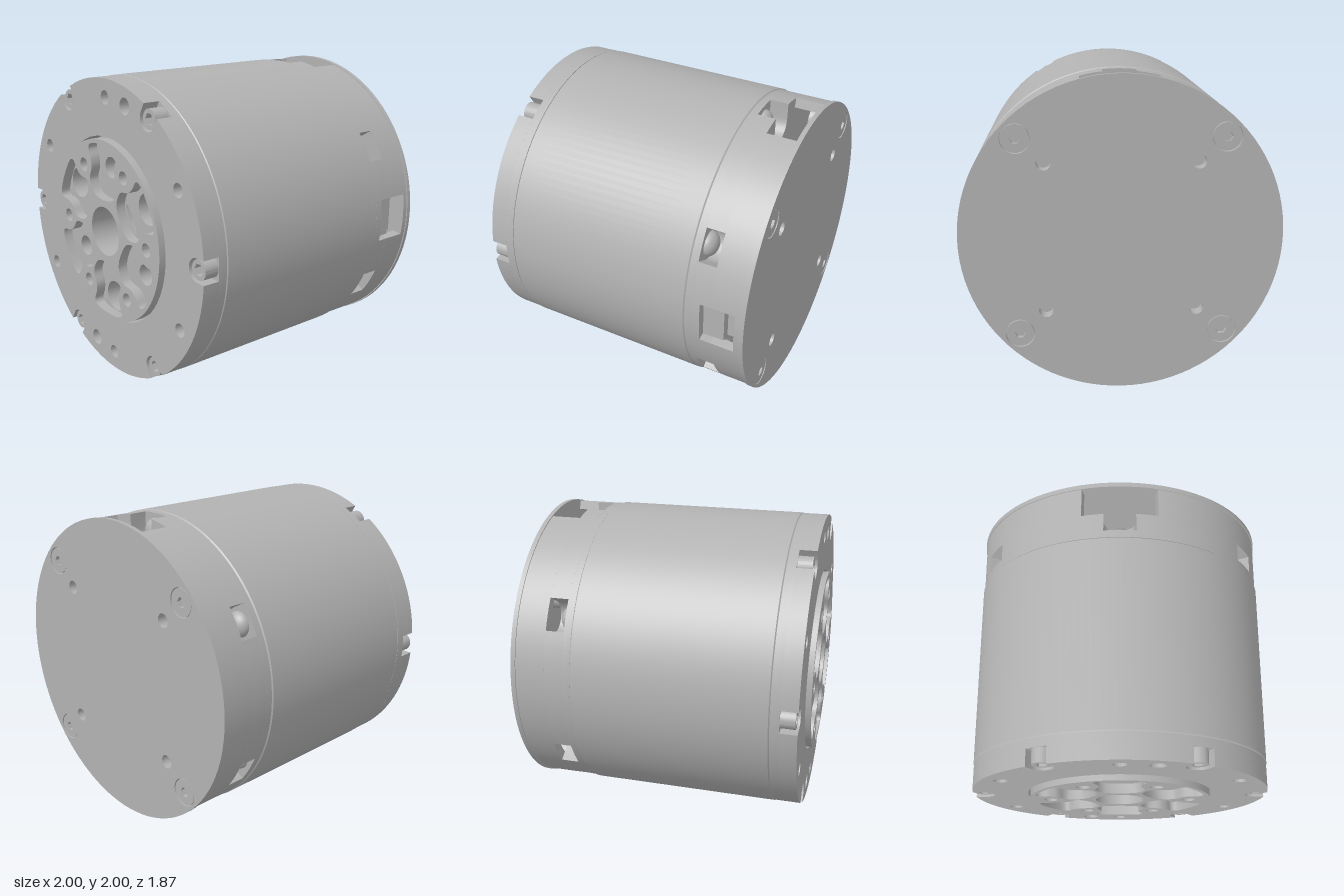
import * as THREE from 'three';
import { toCreasedNormals } from 'three/addons/utils/BufferGeometryUtils.js';

const rad = THREE.MathUtils.degToRad;
const polar = (r, deg) => [r * Math.cos(rad(deg)), r * Math.sin(rad(deg))];
const SIX = [0, 60, 120, 180, 240, 300];
const ODD = SIX.map(a => a + 30);

const circle = (r, x = 0, y = 0) => {
  const p = new THREE.Shape();
  p.absarc(x, y, r, 0, Math.PI * 2, false);
  return p;
};

const hexagon = (r, x, y) => new THREE.Shape(SIX.map(a => {
  const [dx, dy] = polar(r, a);
  return new THREE.Vector2(x + dx, y + dy);
}));

// Ring sector between two angles
const sector = (r0, r1, a0, a1) => {
  const s = new THREE.Shape();
  s.absarc(0, 0, r1, rad(a0), rad(a1), false);
  s.absarc(0, 0, r0, rad(a1), rad(a0), true);
  s.closePath();
  return s;
};

// Disc with notches cut in from the rim; notches are sorted by angle
const notchedDisc = (R, notches) => {
  const pts = [];
  const place = (deg, r, t) => {
    const c = Math.cos(rad(deg)), s = Math.sin(rad(deg));
    pts.push(new THREE.Vector2(r * c - t * s, r * s + t * c));
  };
  notches.forEach((n, i) => {
    const edge = Math.sqrt(R * R - n.w * n.w);
    place(n.a, edge, -n.w);
    if (n.square) {
      place(n.a, n.r, -n.w);
      place(n.a, n.r, n.w);
    } else {
      for (let k = 0; k <= 12; k++) {
        const f = -Math.PI / 2 + Math.PI * k / 12;
        place(n.a, n.r - n.w * Math.cos(f), n.w * Math.sin(f));
      }
    }
    place(n.a, edge, n.w);
    const next = notches[(i + 1) % notches.length];
    const from = n.a + THREE.MathUtils.radToDeg(Math.asin(n.w / R));
    const to = next.a + (i + 1 === notches.length ? 360 : 0) - THREE.MathUtils.radToDeg(Math.asin(next.w / R));
    const steps = Math.ceil((to - from) / 3);
    for (let k = 1; k < steps; k++) place(from + (to - from) * k / steps, R, 0);
  });
  return new THREE.Shape(pts);
};

// Closed smooth outline from (tangent, radius) points, turned to an angle
const smoothOutline = (points, deg) => {
  const curve = new THREE.CatmullRomCurve3(points.map(([t, r]) => {
    const [c, s] = polar(1, deg);
    return new THREE.Vector3(r * c - t * s, r * s + t * c, 0);
  }), true);
  return new THREE.Shape(curve.getPoints(60).slice(0, -1).map(p => new THREE.Vector2(p.x, p.y)));
};

export function createModel() {
  const model = new THREE.Group();
  const grey = new THREE.MeshStandardMaterial({ color: 0xb2b2b2 });
  grey.name = 'grey metal';

  const add = (name, geometry) => {
    const m = new THREE.Mesh(geometry, grey);
    m.name = name;
    m.position.y = 1;
    model.add(m);
    return m;
  };
  const plate = (name, shape, z0, z1, holes = []) => {
    shape.holes.push(...holes);
    const g = new THREE.ExtrudeGeometry(shape, { depth: z1 - z0, bevelEnabled: false, curveSegments: 48 });
    g.translate(0, 0, z0);
    return add(name, toCreasedNormals(g, 0.5));
  };
  const lathe = (name, pts, segments = 128) => {
    const g = new THREE.LatheGeometry(pts.map(p => new THREE.Vector2(...p)), segments);
    g.rotateX(Math.PI / 2);
    return add(name, toCreasedNormals(g, 0.5));
  };
  // Socket screw whose open end is at z1 (z1 may lie behind z0)
  const screw = (name, r, hex, x, y, z0, z1) => {
    const mid = (z0 + z1) / 2;
    plate(name, circle(r, x, y), Math.min(z0, z1), Math.max(z0, z1), [hexagon(hex, x, y)]);
    plate(name + 'Core', circle(r * 0.8, x, y), Math.min(z0, mid), Math.max(z0, mid));
  };

  // Main body with a recess for the hub
  lathe('body', [[0, -0.54], [0.992, -0.54], [1, -0.532], [1, 0.722], [0.992, 0.73],
    [0.6, 0.73], [0.6, 0.6], [0, 0.6]]);

  // Front flange with screw notches and drilled holes
  const flangeHoles = () => [
    ...ODD.map(a => circle(0.045, ...polar(0.877, a))),
    circle(0.054, 0.225, 0.85), circle(0.054, -0.225, -0.85),
  ];
  plate('flangeBase', circle(0.997), 0.73, 0.79, [circle(0.6), ...flangeHoles()]);
  plate('flangeFace', notchedDisc(0.997, SIX.map(a => ({ a, w: 0.075, r: 0.93 }))), 0.79, 0.9,
    [circle(0.625), ...flangeHoles()]);
  SIX.forEach(a => screw('flangeScrew', 0.064, 0.04, ...polar(0.93, a), 0.79, 0.885));

  // Hub: pocketed face over a drilled floor
  const half = [[0.1, 0.228], [0.16, 0.305], [0.163, 0.34], [0.137, 0.41], [0.143, 0.47],
    [0.168, 0.53], [0.15, 0.56]];
  const pocket = [...half, [0, 0.58], ...half.map(([t, r]) => [-t, r]).reverse()];
  const lens = [[-0.1, 0.25], [0, 0.228], [0.1, 0.25], [0, 0.278]];
  const smallHoles = () => [circle(0.165), ...SIX.map(a => circle(0.045, ...polar(0.47, a)))];
  plate('hubFace', circle(0.61), 0.87, 0.935,
    [...smallHoles(), ...ODD.map(a => smoothOutline(pocket, a))]);
  plate('hubFloor', circle(0.6), 0.6, 0.87, [
    ...smallHoles(),
    ...[30, 150, 270].map(a => circle(0.103, ...polar(0.472, a))),
    ...[90, 210, 330].map(a => circle(0.07, ...polar(0.42, a))),
    ...[30, 150].map(a => smoothOutline(lens, a)),
  ]);
  [30, 150, 270].forEach(a => screw('hubScrew', 0.1, 0.038, ...polar(0.472, a), 0.6, 0.7));

  // Rear ring with notches for button-head screws and the connector
  const rearAngles = [30, 90, 150, 210, 240, 300, 330];
  const rearNotches = rearAngles.map(a => ({ a, w: 0.105, r: 0.88 }));
  plate('rearRingBase', circle(0.993), -0.59, -0.54);
  plate('rearRing', notchedDisc(0.993, [{ a: 0, w: 0.145, r: 0.72, square: true }, ...rearNotches]), -0.71, -0.59);
  plate('connectorSill', sector(0.72, 0.993, -8.4, 8.4), -0.64, -0.59);
  rearAngles.forEach(a => {
    const g = new THREE.SphereGeometry(0.082, 24, 10, 0, Math.PI * 2, 0, Math.PI / 2);
    g.rotateX(-Math.PI / 2);
    const m = add('rearScrew', g);
    const [x, y] = polar(0.88, a);
    m.scale.z = 0.75;
    m.position.set(x, y + 1, -0.59);
  });

  // Rear cap: wall with openings at top, bottom and the connector side
  [[8.4, 75.5], [104.5, 255.5], [284.5, 351.6]].forEach(([a, b]) =>
    plate('capWall', sector(0.93, 0.993, a, b), -0.906, -0.71));
  plate('connectorLintel', sector(0.93, 0.993, -8.4, 8.4), -0.906, -0.87);

  // Rear cover with countersunk screws, holes and posts behind them
  const corners = [[1, 1], [-1, 1], [-1, -1], [1, -1]];
  plate('rearCover', circle(1), -0.935, -0.905, corners.flatMap(([x, y]) => [
    circle(0.092, x * 0.635, y * 0.62), circle(0.045, x * 0.47, y * 0.47),
  ]));
  corners.forEach(([x, y]) => {
    screw('coverScrew', 0.086, 0.034, x * 0.635, y * 0.62, -0.88, -0.932);
    plate('coverPost', circle(0.094, x * 0.635, y * 0.62), -0.9, -0.71, [circle(0.06, x * 0.635, y * 0.62)]);
    plate('coverStandoff', circle(0.075, x * 0.47, y * 0.47), -0.85, -0.71);
    plate('standoffRim', circle(0.075, x * 0.47, y * 0.47), -0.91, -0.85, [circle(0.045, x * 0.47, y * 0.47)]);
  });

  // Side connector
  [[0.93, -0.64, -0.78], [0.87, -0.78, -0.87]].forEach(([x, z1, z0]) => {
    const g = new THREE.BoxGeometry(x - 0.7, 0.28, z1 - z0);
    g.translate((x + 0.7) / 2, 0, (z0 + z1) / 2);
    add('connector', g);
  });

  return model;
}
